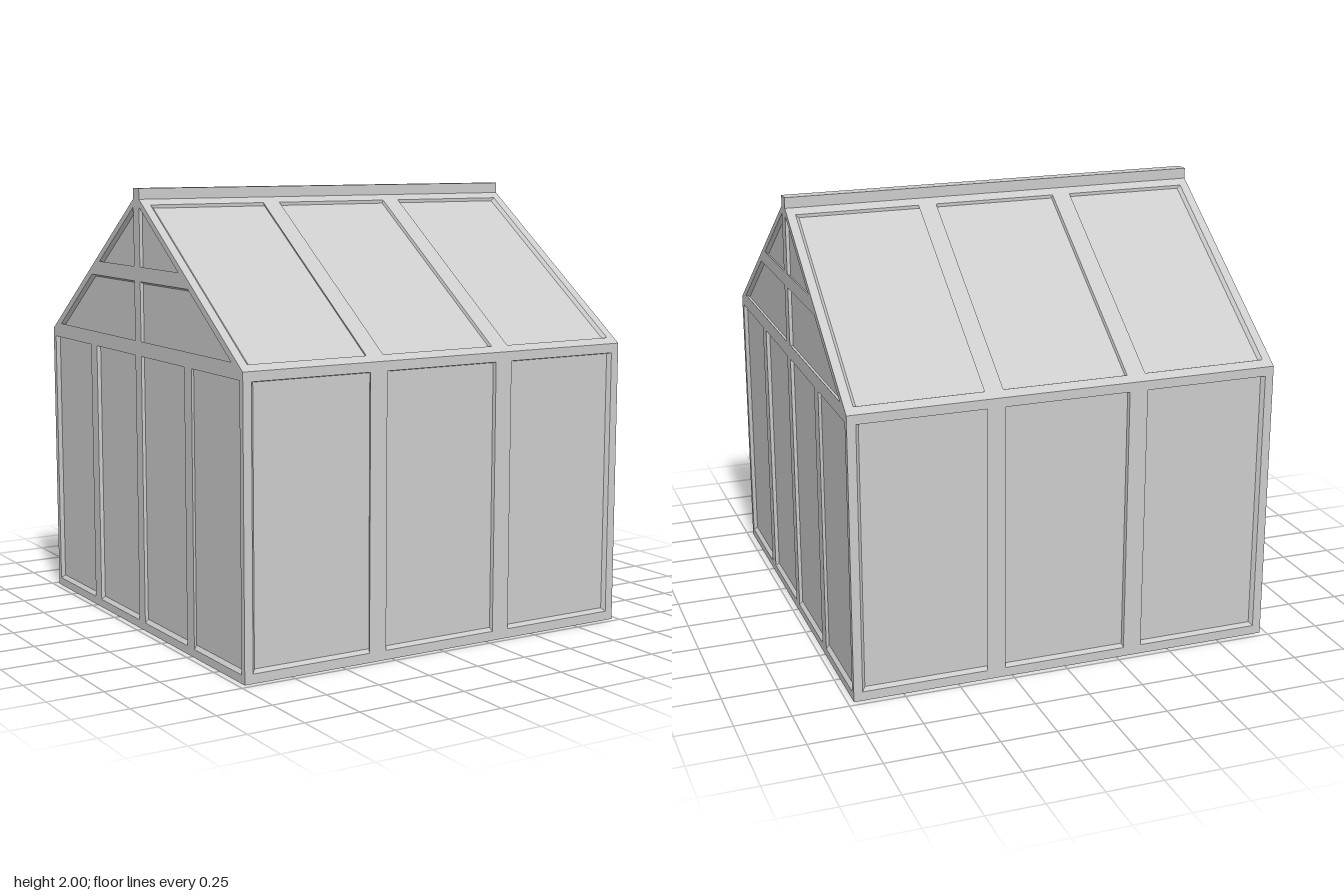
import * as THREE from 'three';
import { mergeGeometries } from 'three/addons/utils/BufferGeometryUtils.js';

const H = 0.973;        // half width and half depth
const EAVE = 1.294, RIDGE = 1.952, TOP = 2, CAP = 0.03;
const INSET = 0.984;    // panes sit on a slightly smaller shell
const CENTRE = new THREE.Vector3(0, 1, 0);
const material = new THREE.MeshStandardMaterial({ color: 0xcccccc, flatShading: true });

const v2 = (pts) => pts.map(([x, y]) => new THREE.Vector2(x, y));
const rect = (x0, x1, y0, y1) => [[x0, y0], [x1, y0], [x1, y1], [x0, y1]];
const mirror = (pts) => pts.map(([x, y]) => [-x, y]).reverse();

function addMesh(group, name, geometry) {
  const mesh = new THREE.Mesh(geometry, material);
  mesh.name = name;
  group.add(mesh);
}

// Sloping sides of one opening, from the frame surface down to its pane
function reveal(pts, matrix, inset) {
  const outer = pts.map(([x, y]) => new THREE.Vector3(x, y, 0).applyMatrix4(matrix));
  const inner = outer.map((p) => p.clone().applyMatrix4(inset));
  const corners = [];
  outer.forEach((a, i) => {
    const j = (i + 1) % outer.length;
    corners.push(a, outer[j], inner[j], a, inner[j], inner[i]);
  });
  const geometry = new THREE.BufferGeometry().setFromPoints(corners);
  geometry.computeVertexNormals();
  return geometry;
}

// One face of the house: frame with openings, reveals and recessed panes
function glazedFace(name, outline, openings, matrix) {
  const group = new THREE.Group();
  group.name = name;
  const inset = new THREE.Matrix4().makeTranslation(CENTRE)
    .scale(new THREE.Vector3(INSET, INSET, INSET))
    .multiply(new THREE.Matrix4().makeTranslation(CENTRE.clone().negate()));
  const frame = new THREE.Shape(v2(outline));
  openings.forEach((o) => frame.holes.push(new THREE.Path(v2(o))));
  addMesh(group, name + 'Frame', new THREE.ShapeGeometry(frame).applyMatrix4(matrix));
  addMesh(group, name + 'Reveals', mergeGeometries(openings.map((o) => reveal(o, matrix, inset))));
  addMesh(group, name + 'Panes', mergeGeometries(openings.map((o) =>
    new THREE.ShapeGeometry(new THREE.Shape(v2(o))).applyMatrix4(matrix).applyMatrix4(inset))));
  return group;
}

export function createModel() {
  const model = new THREE.Group();
  model.name = 'greenhouse';
  const turned = (angle, m) => new THREE.Matrix4().makeRotationY(angle).multiply(m);
  const upright = new THREE.Matrix4().makeTranslation(0, 0, H);

  // Three equal bays shared by the long walls and the roof
  const bays = (y0, y1) => [[-0.934, -0.367], [-0.283, 0.283], [0.367, 0.934]]
    .map(([x0, x1]) => rect(x0, x1, y0, y1));

  // Roof slope plane, measured up from the eave
  const rise = RIDGE - EAVE, run = H - CAP;
  const length = Math.hypot(rise, run), pitch = Math.atan2(rise, run);
  const slope = new THREE.Matrix4().makeTranslation(0, EAVE, H)
    .multiply(new THREE.Matrix4().makeRotationX(pitch - Math.PI / 2));
  const along = (y) => (y - EAVE) / Math.sin(pitch);

  // Front and back walls and roof slopes
  for (const [side, angle] of [['front', 0], ['back', Math.PI]]) {
    model.add(glazedFace(side + 'Wall', rect(-H, H, 0, EAVE), bays(0.042, 1.252), turned(angle, upright)));
    model.add(glazedFace(side + 'Roof', rect(-H, H, 0, length),
      bays(along(1.318), along(1.928)), turned(angle, slope)));
  }

  // Gable ends: four tall panes, two trapezoids and two triangles
  const half = [
    rect(0.03, 0.453, 0.037, 1.257),
    rect(0.52, 0.945, 0.037, 1.257),
    [[0.03, 1.324], [0.875, 1.324], [0.494, 1.59], [0.03, 1.59]],
    [[0.03, 1.655], [0.406, 1.655], [0.03, 1.917]],
  ];
  const gable = [[-H, 0], [H, 0], [H, EAVE], [CAP, RIDGE], [-CAP, RIDGE], [-H, EAVE]];
  for (const [side, angle] of [['left', Math.PI / 2], ['right', -Math.PI / 2]]) {
    model.add(glazedFace(side + 'Gable', gable, [...half, ...half.map(mirror)], turned(angle, upright)));
  }

  // Ridge cap and base
  addMesh(model, 'ridgeCap', new THREE.BoxGeometry(2 * H, TOP - RIDGE, 2 * CAP)
    .translate(0, (TOP + RIDGE) / 2, 0));
  addMesh(model, 'base', new THREE.PlaneGeometry(2 * H, 2 * H).rotateX(Math.PI / 2));
  return model;
}
